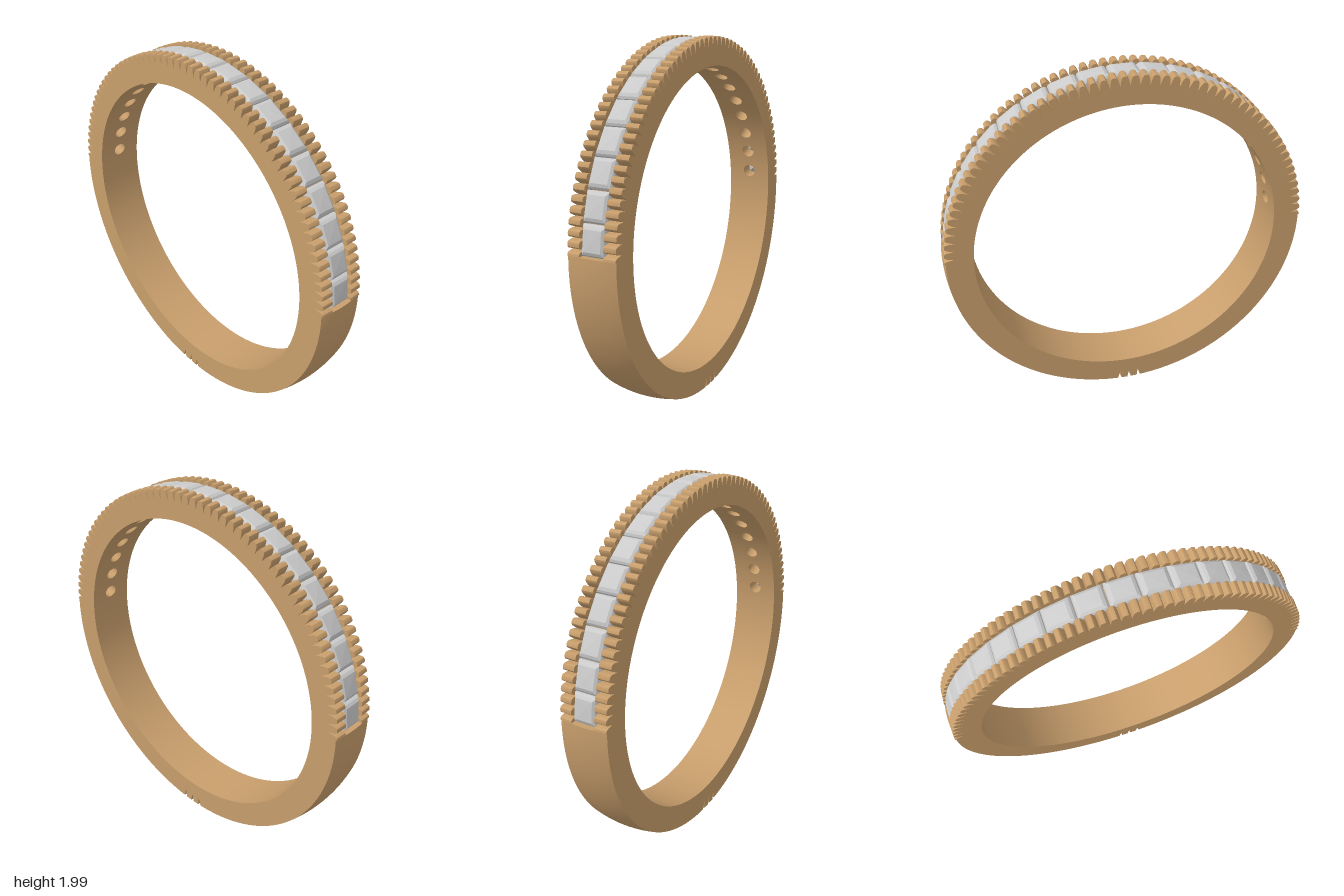
import * as THREE from 'three';
import { toCreasedNormals } from 'three/addons/utils/BufferGeometryUtils.js';

const DEG = Math.PI / 180;
const STONES = 19, PITCH = 9.17, NOTCH = PITCH / 3;
const END = STONES * PITCH / 2;      // where the stone channel stops, degrees from the top
const INNER = 0.84, HALF_W = 0.13, CHANNEL = 0.065;

// Sweeps a convex (radius, z) section around the ring; angles in degrees clockwise from the top
function sweep(angles, section) {
  const rings = angles.map(a => section(a).map(([r, z]) =>
    [r * Math.sin(a * DEG), r * Math.cos(a * DEG), z]));
  const pos = [];
  const tri = (a, b, c) => pos.push(...a, ...b, ...c);
  const n = rings[0].length;
  for (let k = 0; k < rings.length - 1; k++) {
    const A = rings[k], B = rings[k + 1];
    for (let i = 0; i < n; i++) {
      const j = (i + 1) % n;
      tri(A[i], A[j], B[j]);
      tri(A[i], B[j], B[i]);
    }
  }
  const first = rings[0], last = rings[rings.length - 1];
  for (let i = 1; i < n - 1; i++) {
    tri(first[0], first[i + 1], first[i]);
    tri(last[0], last[i], last[i + 1]);
  }
  const g = new THREE.BufferGeometry();
  g.setAttribute('position', new THREE.Float32BufferAttribute(pos, 3));
  return toCreasedNormals(g, 25 * DEG);
}

// Bends a flat extrusion (x along the arc, y across, z outward) onto the inner radius
function bend(g) {
  const p = g.attributes.position, m = g.attributes.normal;
  for (let i = 0; i < p.count; i++) {
    const a = p.getX(i) / INNER, r = INNER + p.getZ(i), s = Math.sin(a), c = Math.cos(a);
    const nx = m.getX(i), nt = m.getZ(i);
    m.setXYZ(i, nx * c + nt * s, -nx * s + nt * c, -m.getY(i));
    p.setXYZ(i, r * s, r * c, -p.getY(i));
  }
  return g;
}

export function createModel() {
  const gold = new THREE.MeshStandardMaterial({ color: 0xc89e6c });
  const gem = new THREE.MeshStandardMaterial({ color: 0xcccccc, flatShading: true });
  const model = new THREE.Group();
  const ring = new THREE.Group();
  ring.name = 'ring';
  ring.position.y = 1;
  model.add(ring);
  const add = (name, geometry, material, angle = 0) => {
    const mesh = new THREE.Mesh(geometry, material);
    mesh.name = name;
    mesh.rotation.z = -angle * DEG;
    ring.add(mesh);
  };

  // Lower shank: domed outside, three V grooves at the bottom
  const grooves = [176.6, 180, 183.4];
  const groove = a => Math.max(0, ...grooves.map(g => 0.055 * (1 - Math.abs(a - g) / 0.6)));
  const lower = [];
  for (let i = 0; i <= 90; i++) lower.push(END + (360 - 2 * END) * i / 90);
  grooves.forEach(g => lower.push(g - 0.6, g - 0.001, g + 0.6));
  lower.sort((a, b) => a - b);
  add('shank', sweep(lower, a => {
    const pts = [[INNER, -HALF_W]];
    for (let i = -5; i <= 5; i++) {
      pts.push([1 - 0.015 * (i / 5) ** 2 - groove(a), HALF_W * i / 5]);
    }
    pts.push([INNER, HALF_W]);
    return pts;
  }), gold);

  // Notched rails on both sides of the channel: [offset from notch, radius]
  const half = [[0, 0.94], [0.3, 0.966], [0.55, 0.982], [0.9, 0.99], [NOTCH / 2, 0.992]];
  const profile = [...half.slice(1).reverse().map(([o, r]) => [-o, r]), ...half];
  const radii = new Map();
  for (let k = -28; k <= 28; k++) {
    profile.forEach(([o, r]) => radii.set(+(k * NOTCH + o).toFixed(4), r));
  }
  const upper = [...radii.keys()].sort((a, b) => a - b);
  add('frontRail', sweep(upper, a => [[INNER, CHANNEL], [radii.get(a) + 0.003, CHANNEL],
    [radii.get(a), HALF_W], [INNER, HALF_W]]), gold);
  add('backRail', sweep(upper, a => [[INNER, -HALF_W], [radii.get(a), -HALF_W],
    [radii.get(a) + 0.003, -CHANNEL], [INNER, -CHANNEL]]), gold);

  // Channel floor: one bent tile with a round hole under each stone
  const w = PITCH / 2 * DEG * INNER, outline = [];
  for (let i = 0; i <= 6; i++) outline.push(new THREE.Vector2(-w + w * i / 3, -CHANNEL));
  for (let i = 6; i >= 0; i--) outline.push(new THREE.Vector2(-w + w * i / 3, CHANNEL));
  const tile = new THREE.Shape(outline);
  tile.holes.push(new THREE.Path().absarc(0, 0, 0.037, 0, Math.PI * 2, true));
  const seat = bend(new THREE.ExtrudeGeometry(tile,
    { depth: 0.09, bevelEnabled: false, curveSegments: 24 }));

  // Square stone: tapered underside, girdle, bevelled crown and flat table
  const stone = new THREE.LatheGeometry([[0, 0.89], [0.5, 0.93], [1, 0.95], [1, 0.966],
    [0.9, 0.977], [0.7, 0.986], [0, 0.988]].map(([s, y]) => new THREE.Vector2(s * Math.SQRT2, y)), 4)
    .rotateY(Math.PI / 4).scale(0.075, 1, 0.064);

  for (let i = 0; i < STONES; i++) {
    const angle = (i - (STONES - 1) / 2) * PITCH;
    add('stoneSeat', seat, gold, angle);
    add('stone', stone, gem, angle);
  }
  return model;
}
